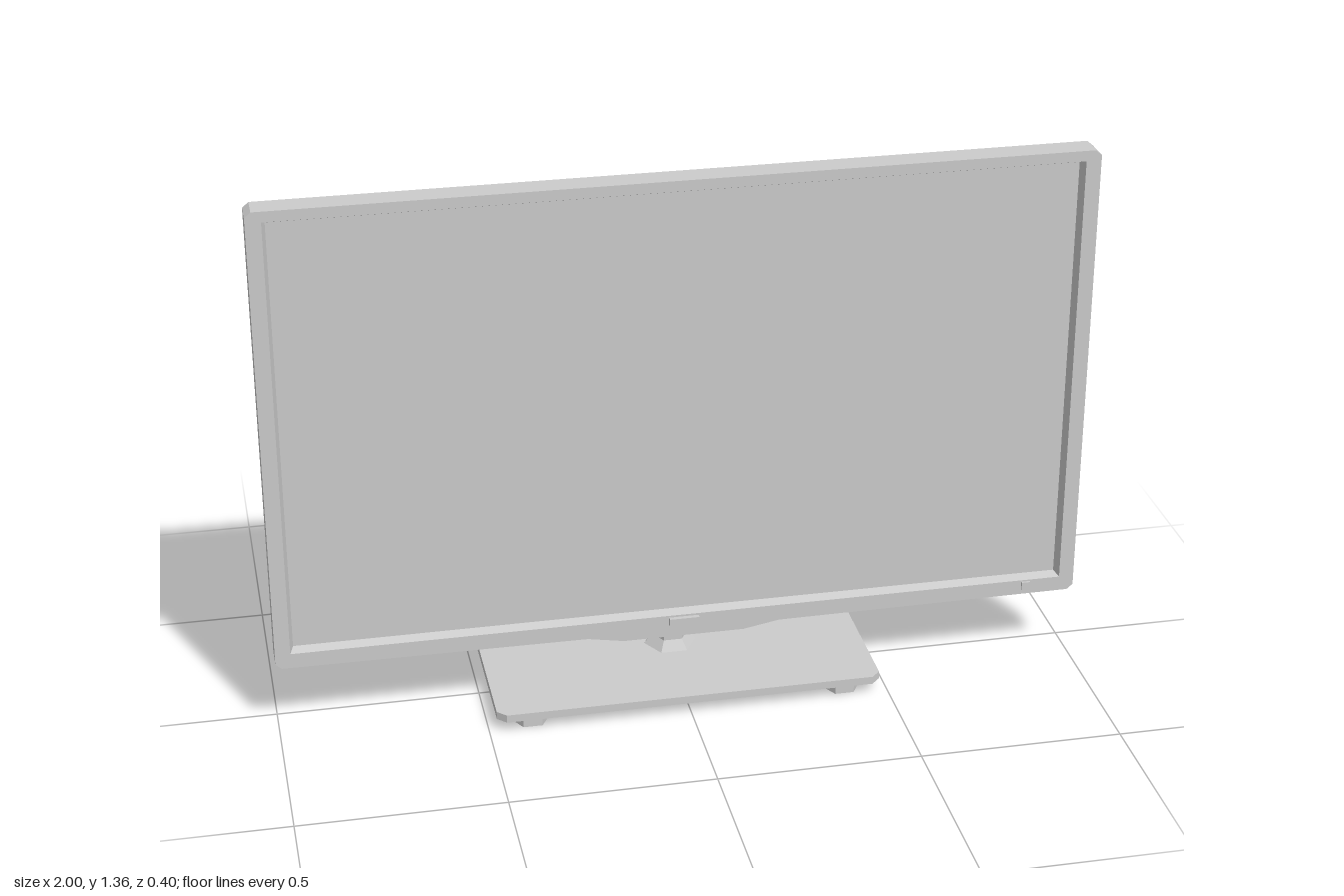
import * as THREE from 'three';

const grey = new THREE.MeshStandardMaterial({ color: 0xcccccc, flatShading: true });

function add(parent, name, geometry, x = 0, y = 0, z = 0) {
  const mesh = new THREE.Mesh(geometry, grey);
  mesh.name = name;
  mesh.position.set(x, y, z);
  parent.add(mesh);
  return mesh;
}

const polygon = (points) => points.map(([x, y]) => new THREE.Vector2(x, y));

// Rectangle as corner points, anticlockwise seen from +z
const corners = ([x0, x1, y0, y1]) => [[x0, y0], [x1, y0], [x1, y1], [x0, y1]];

// Sloped walls between rectangles a and b ([x0, x1, y0, y1, z]).
// Walls face outward when b lies at higher z, inward when it lies lower.
function taper(a, b, cap) {
  const A = corners(a).map(([x, y]) => [x, y, a[4]]);
  const B = corners(b).map(([x, y]) => [x, y, b[4]]);
  const v = [];
  const quad = (p, q, r, s) => v.push(...p, ...q, ...r, ...p, ...r, ...s);
  for (let i = 0; i < 4; i++) {
    const j = (i + 1) % 4;
    quad(A[i], A[j], B[j], B[i]);
  }
  if (cap === 'first') quad(A[3], A[2], A[1], A[0]);
  if (cap === 'last') quad(B[0], B[1], B[2], B[3]);
  const g = new THREE.BufferGeometry();
  g.setAttribute('position', new THREE.Float32BufferAttribute(v, 3));
  g.computeVertexNormals();
  return g;
}

// Hexagonal prism or collar with corners pointing along x
function hexagon(rTop, rBottom, y0, y1) {
  const g = new THREE.CylinderGeometry(rTop, rBottom, y1 - y0, 6);
  return g.rotateY(Math.PI / 6).translate(0, (y0 + y1) / 2, 0);
}

function buildPanel() {
  const panel = new THREE.Group();
  panel.name = 'displayPanel';
  const back = 0.037, front = 0.102;

  // Frame with chamfered corners and a shallow lip under the middle
  const half = [[0.15, 0.167], [0.24, 0.183], [0.985, 0.187], [1, 0.2], [1, 1.35], [0.985, 1.363]];
  const outline = [...half, ...half.map(([x, y]) => [-x, y]).reverse()];
  const shape = new THREE.Shape(polygon(outline));
  const opening = [-0.963, 0.963, 0.225, 1.337];
  shape.holes.push(new THREE.Path(polygon(corners(opening))));
  add(panel, 'frame', new THREE.ExtrudeGeometry(shape, { depth: front - back, bevelEnabled: false }), 0, 0, back);

  // Recessed screen with a sloped surround, and the plate behind it
  add(panel, 'screen', taper([...opening, front], [-0.954, 0.954, 0.234, 1.328, 0.08], 'last'));
  add(panel, 'backPlate', new THREE.BoxGeometry(1.926, 1.112, 0.03), 0, 0.781, back + 0.015);

  // Small parts on the lower bezel
  add(panel, 'sensorBar', new THREE.BoxGeometry(0.074, 0.02, 0.02), 0, 0.21, 0.103);
  add(panel, 'powerLight', new THREE.BoxGeometry(0.022, 0.022, 0.014), 0.875, 0.21, 0.101);
  return panel;
}

function buildRearHousing() {
  const housing = new THREE.Group();
  housing.name = 'rearHousing';
  const z = -0.028;

  // Tapered shell and its flat back, open where the pockets are
  const backRect = [-0.525, 0.525, 0.18, 0.995];
  add(housing, 'rearShell', taper([...backRect, z], [-0.96, 0.96, 0.188, 1.003, 0.039]));
  const shape = new THREE.Shape(polygon(corners(backRect)));
  shape.holes.push(new THREE.Path(polygon(corners([-0.38, 0.38, 0.26, 0.55]))));
  add(housing, 'rearFace', new THREE.ShapeGeometry(shape).rotateY(Math.PI), 0, 0, z);

  // Row of four sunken pockets
  for (let i = 0; i < 4; i++) {
    const x0 = -0.38 + i * 0.19, x1 = x0 + 0.19;
    add(housing, 'rearPocket', taper(
      [x0 + 0.045, x1 - 0.045, 0.3, 0.51, 0.02], [x0, x1, 0.26, 0.55, z], 'first').clone());
  }

  // Mounting block
  add(housing, 'mountBlock', taper(
    [-0.12, 0.12, 0.7, 0.905, -0.074], [-0.17, 0.17, 0.657, 0.955, z], 'first'));
  return housing;
}

function buildStand() {
  const stand = new THREE.Group();
  stand.name = 'stand';
  const poleZ = -0.076;
  add(stand, 'pole', hexagon(0.046, 0.046, 0.05, 0.83), 0, 0, poleZ);
  add(stand, 'poleCollar', hexagon(0.046, 0.066, 0.05, 0.075), 0, 0, poleZ);

  // Base plate with clipped corners
  const w = 0.48, d = 0.2, c = 0.022;
  const plate = new THREE.Shape(polygon([
    [w - c, -d], [w, -d + c], [w, d - c], [w - c, d],
    [-w + c, d], [-w, d - c], [-w, -d + c], [-w + c, -d]]));
  const plateGeo = new THREE.ExtrudeGeometry(plate, { depth: 0.02, bevelEnabled: false });
  add(stand, 'basePlate', plateGeo.rotateX(-Math.PI / 2), 0, 0.03, 0);

  // Feet
  for (const x of [-0.392, 0.392])
    for (const z of [0.14, -0.12]) add(stand, 'foot', hexagon(0.047, 0.047, 0, 0.031), x, 0, z);
  return stand;
}

export function createModel() {
  const model = new THREE.Group();
  model.name = 'flatScreenDisplay';
  model.add(buildPanel(), buildRearHousing(), buildStand());
  return model;
}
